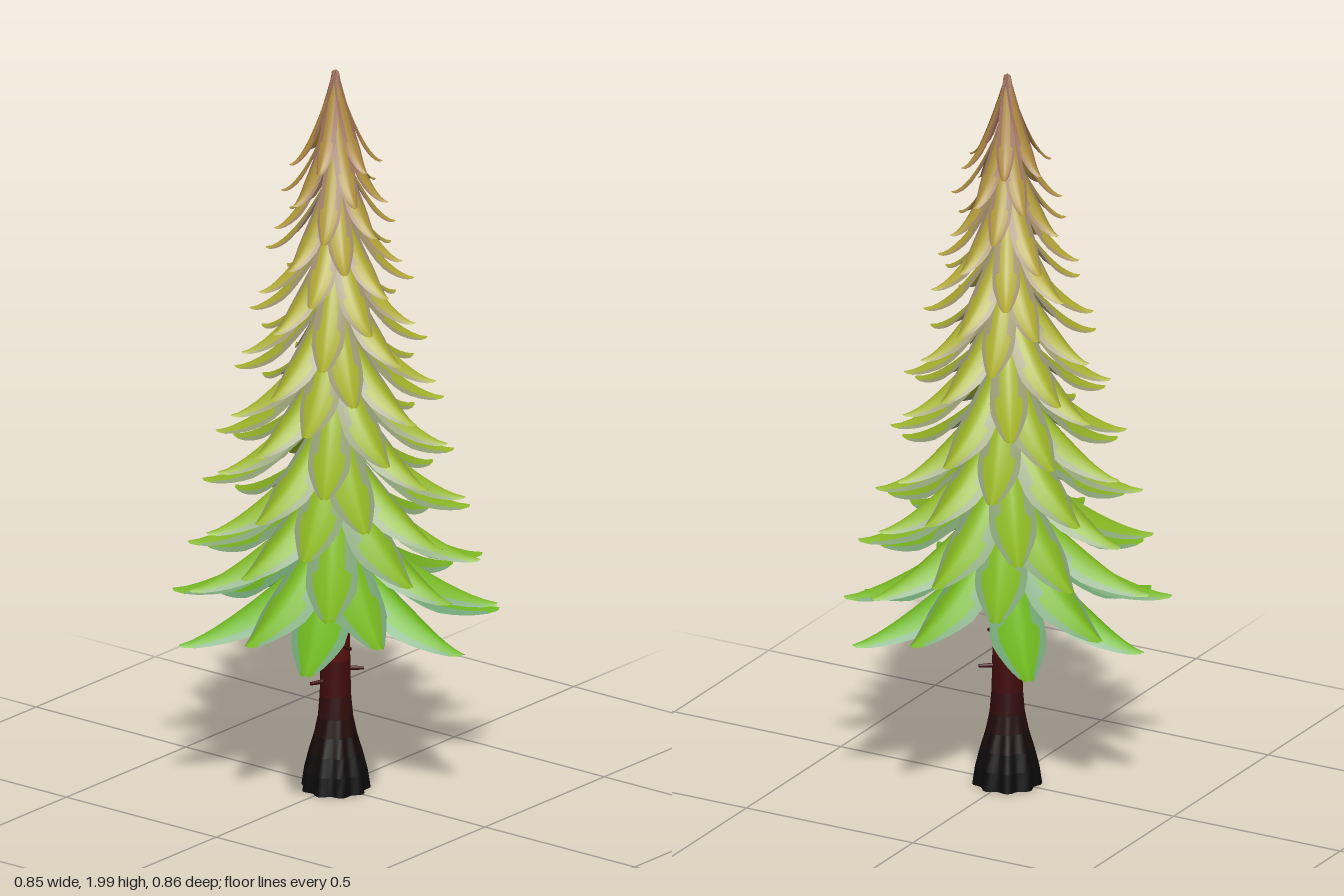
import * as THREE from 'three';
import { mergeGeometries } from 'three/addons/utils/BufferGeometryUtils.js';

const { lerp, smoothstep, degToRad } = THREE.MathUtils;

const TIERS = 17;
const ROWS = 12; // segments along a leaf
const COLS = 8;  // segments across a leaf

// Leaf directions in degrees, repeating every four tiers
const DIRECTIONS = [
  [-1, 62, 118, 184, 233, 306],
  [35, 85, 151, 204, 276, 328],
  [1, 54, 120, 176, 245, 300],
  [21, 93, 143, 214, 270, 336],
];

function seeded(seed) {
  return () => {
    seed = (seed * 16807) % 2147483647;
    return seed / 2147483647;
  };
}

// Blend through a list of colours, t from 0 to 1
function ramp(stops, t) {
  const s = Math.min(t, 0.9999) * (stops.length - 1);
  const i = Math.floor(s);
  return new THREE.Color(stops[i]).lerp(new THREE.Color(stops[i + 1]), s - i);
}

function material(color) {
  return new THREE.MeshStandardMaterial({ color, roughness: 0.9, side: THREE.DoubleSide });
}

// Drooping arched leaf growing along +x; returns its blade and its paler margins
function leafGeometries(reach, height, halfWidth, droop) {
  const positions = [];
  const blade = [];
  const margin = [];
  for (let i = 0; i <= ROWS; i++) {
    const t = i / ROWS;
    const swell = t < 0.55
      ? lerp(0.4, 1, Math.sin((t / 0.55) * Math.PI / 2))
      : lerp(1, 0.12, Math.pow((t - 0.55) / 0.45, 1.1));
    const w = halfWidth * swell;
    for (let j = 0; j <= COLS; j++) {
      const u = (j / COLS) * 2 - 1;
      const fold = Math.pow(Math.abs(u), 1.4) * w * 0.7;
      const roundTip = t === 1 ? u * u * 0.006 : 0;
      positions.push(reach * t - roundTip, height * (1 - t) ** droop - fold, w * u);
    }
  }
  for (let i = 0; i < ROWS; i++) {
    for (let j = 0; j < COLS; j++) {
      const a = i * (COLS + 1) + j;
      const b = a + COLS + 1;
      const edge = Math.abs((j + 0.5) / COLS * 2 - 1);
      const list = edge > 0.35 + 0.6 * (i / ROWS) ? margin : blade;
      list.push(a, a + 1, b, b, a + 1, b + 1);
    }
  }
  const whole = new THREE.BufferGeometry();
  whole.setAttribute('position', new THREE.Float32BufferAttribute(positions, 3));
  whole.setIndex([...blade, ...margin]);
  whole.computeVertexNormals();
  return [blade, margin].map((index) => whole.clone().setIndex(index));
}

// Overlapping tiers of six leaves, staggered, slimmer and steeper to the top
function buildFoliage() {
  const foliage = new THREE.Group();
  foliage.name = 'foliage';
  const random = seeded(4127);
  for (let k = 0; k < TIERS; k++) {
    const f = k / (TIERS - 1);
    const tipY = lerp(0.455, 1.735, Math.pow(f, 1.06));
    const reach = 0.44 - 0.245 * (tipY - 0.455);
    const twist = Math.floor(k / 4) * 0.05;
    const blades = [];
    const margins = [];
    for (const degrees of DIRECTIONS[k % 4]) {
      const angle = degToRad(degrees) + twist;
      const r = reach * lerp(0.96, 1.03, random());
      const lift = k === TIERS - 1 ? 0 : (random() - 0.5) * 0.015;
      const parts = leafGeometries(r, 0.255, 0.004 + 0.16 * reach, lerp(1.4, 1.65, f));
      for (const g of parts) g.rotateY(-angle).translate(0, tipY + lift, 0);
      blades.push(parts[0]);
      margins.push(parts[1]);
    }
    const tier = new THREE.Group();
    tier.name = `leafTier${k + 1}`;
    const bladeMesh = new THREE.Mesh(mergeGeometries(blades),
      material(ramp([0x6cb41e, 0x8ab422, 0xa0b028, 0xb0a832, 0xac8a3c], f)));
    bladeMesh.name = 'leafBlades';
    const marginMesh = new THREE.Mesh(mergeGeometries(margins),
      material(ramp([0x74a878, 0x8ca478, 0x9a9c74, 0xa39272, 0x9c6e58], f)));
    marginMesh.name = 'leafMargins';
    tier.add(bladeMesh, marginMesh);
    foliage.add(tier);
  }
  return foliage;
}

// Trunk in stacked bands, fluted and flared at the foot
function buildTrunk() {
  const trunk = new THREE.Group();
  trunk.name = 'trunk';
  const profile = [
    [0, 0.086], [0.05, 0.079], [0.1, 0.068], [0.15, 0.055],
    [0.2, 0.046], [0.26, 0.041], [0.36, 0.039], [0.55, 0.037], [1.98, 0.003],
  ];
  const colors = [0x0b0a0a, 0x0d0a0a, 0x150a0a, 0x220b0a, 0x300c0b, 0x400d0c, 0x540f0d, 0x6a1a18];
  colors.forEach((color, i) => {
    const [y0, r0] = profile[i];
    const [y1, r1] = profile[i + 1];
    const band = new THREE.CylinderGeometry(r1, r0, y1 - y0, 48, 1);
    band.translate(0, (y0 + y1) / 2, 0);
    const p = band.attributes.position;
    for (let v = 0; v < p.count; v++) {
      const flute = 1 + 0.08 * (1 - smoothstep(p.getY(v), 0.05, 0.26))
        * Math.cos(9 * Math.atan2(p.getZ(v), p.getX(v)));
      p.setX(v, p.getX(v) * flute);
      p.setZ(v, p.getZ(v) * flute);
    }
    band.computeVertexNormals();
    const mesh = new THREE.Mesh(band, material(color));
    mesh.name = 'trunkBand';
    trunk.add(mesh);
  });
  return trunk;
}

// Short broken twigs: [height, direction in degrees]
function buildTwigs() {
  const twigs = new THREE.Group();
  twigs.name = 'twigs';
  const mat = material(0x3a0d0c);
  const places = [[0.3, 110], [0.33, -40], [0.36, 175], [0.405, 20], [0.42, -95], [0.45, 130]];
  for (const [y, degrees] of places) {
    const g = new THREE.CylinderGeometry(0.005, 0.007, 0.05, 8);
    g.rotateZ(-Math.PI / 2).translate(0.05, 0, 0);
    const twig = new THREE.Mesh(g, mat);
    twig.name = 'twig';
    twig.position.y = y;
    twig.rotation.y = -degToRad(degrees);
    twigs.add(twig);
  }
  return twigs;
}

export function createModel() {
  const tree = new THREE.Group();
  tree.name = 'coniferTree';
  tree.add(buildTrunk(), buildTwigs(), buildFoliage());
  return tree;
}
